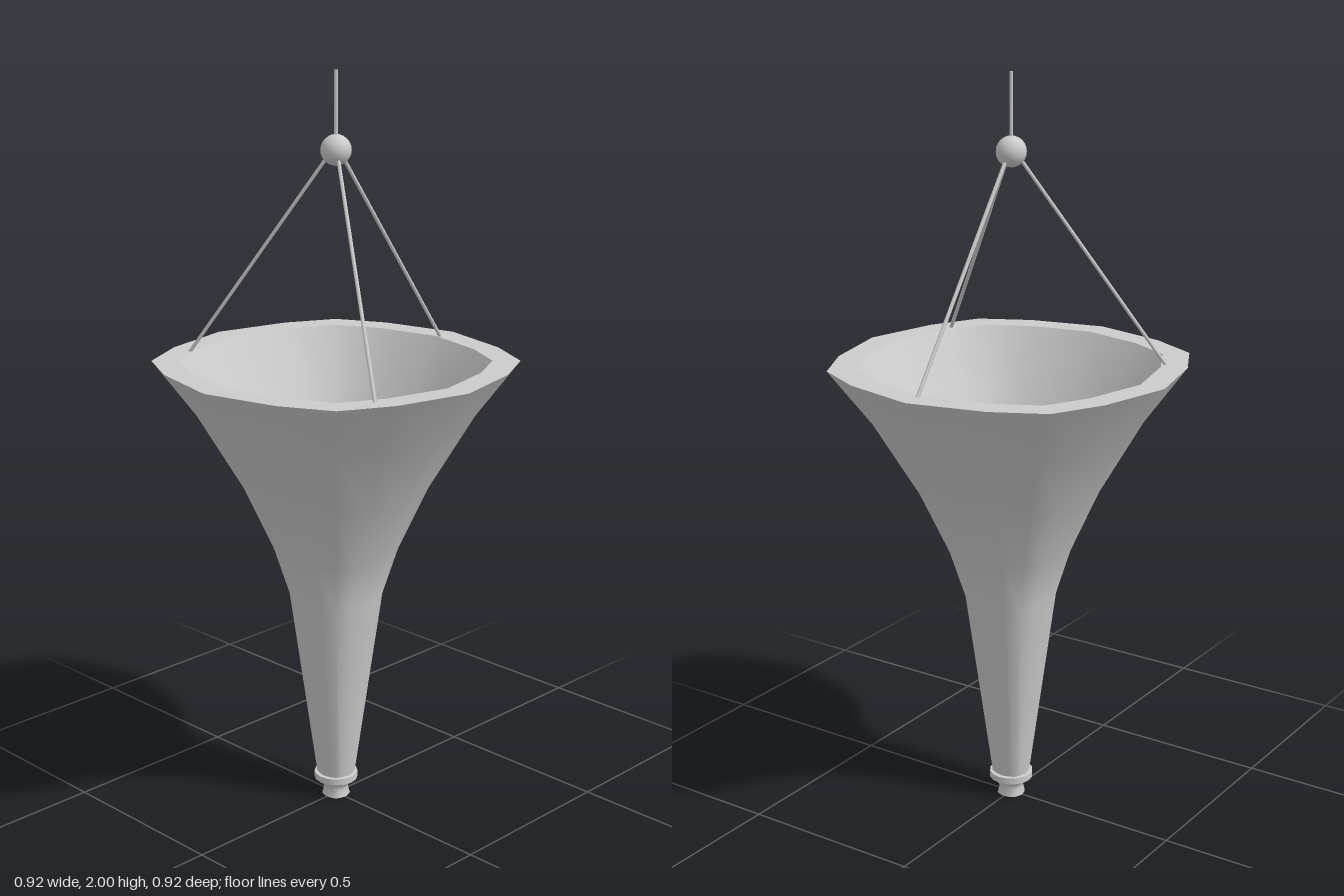
import * as THREE from 'three';
import { mergeVertices } from 'three/addons/utils/BufferGeometryUtils.js';

const material = new THREE.MeshStandardMaterial({ color: 0xcccccc });

function add(parent, name, geometry) {
  const mesh = new THREE.Mesh(geometry, material);
  mesh.name = name;
  parent.add(mesh);
  return mesh;
}

// Sixteen-sided turned surface whose corners bulge slightly on the diagonals
function turned(profile) {
  const geo = new THREE.LatheGeometry(profile.map(([r, y]) => new THREE.Vector2(r, y)), 16);
  const pos = geo.attributes.position;
  for (let i = 0; i < pos.count; i++) {
    const r = Math.hypot(pos.getX(i), pos.getZ(i));
    const step = Math.round(Math.atan2(pos.getX(i), pos.getZ(i)) / (Math.PI / 8));
    const nearest = Math.round(step / 2) * 2;
    // odd corners move 4 degrees toward the diagonal
    const diagonal = Math.round((step - 2) / 4) * 4 + 2;
    const angle = step * Math.PI / 8 + (step === nearest ? 0 : Math.sign(diagonal - step) * 0.071);
    const scale = step === diagonal ? 1.05 : 1;
    pos.setX(i, Math.sin(angle) * r * scale);
    pos.setZ(i, Math.cos(angle) * r * scale);
  }
  geo.deleteAttribute('uv');
  geo.deleteAttribute('normal');
  const welded = mergeVertices(geo, 1e-5);
  welded.computeVertexNormals();
  return welded;
}

// Thin round bar between two points
function bar(parent, name, from, to, radius) {
  const a = new THREE.Vector3(...from), b = new THREE.Vector3(...to);
  const dir = b.clone().sub(a);
  const mesh = add(parent, name, new THREE.CylinderGeometry(radius, radius, dir.length(), 8));
  mesh.position.copy(a).add(b).multiplyScalar(0.5);
  mesh.quaternion.setFromUnitVectors(new THREE.Vector3(0, 1, 0), dir.normalize());
}

export function createModel() {
  const model = new THREE.Group();
  model.name = 'hangingTrumpetVase';

  // Flared vase: outer wall, flat rim, inner wall
  const vase = new THREE.Group();
  vase.name = 'vase';
  model.add(vase);
  add(vase, 'outerWall', turned([
    [0.05, 0.07], [0.12, 0.6], [0.16, 0.73], [0.235, 0.9], [0.35, 1.1], [0.46, 1.25],
  ]));
  add(vase, 'rim', turned([[0.46, 1.25], [0.39, 1.25]]));
  add(vase, 'innerWall', turned([
    [0.39, 1.25], [0.3, 1.1], [0.205, 0.9], [0.143, 0.73], [0.11, 0.6], [0.035, 0.1], [0, 0.09],
  ]));

  // Collar and small waisted foot
  const finial = new THREE.Group();
  finial.name = 'finial';
  model.add(finial);
  const collar = add(finial, 'collar', new THREE.CylinderGeometry(0.06, 0.06, 0.018, 16));
  collar.position.y = 0.06;
  add(finial, 'neck', turned([[0.037, 0], [0.032, 0.02], [0.036, 0.036], [0.054, 0.052]]));
  add(finial, 'footBase', turned([[0, 0], [0.037, 0]]));

  // Hanging ball with the rod above it
  const ball = add(model, 'ball', new THREE.SphereGeometry(0.04, 16, 12));
  ball.position.y = 1.8;
  bar(model, 'hangingRod', [0, 1.83, 0], [0, 2, 0], 0.005);

  // Three suspension wires from the ball to the rim
  const ends = [[0.35, 0.217], [-0.35, 0.203], [0.008, -0.4]];
  ends.forEach(([x, z], i) => {
    bar(model, `wire${i + 1}`, [x * 0.06, 1.78, z * 0.06], [x, 1.247, z], 0.005);
  });
  return model;
}
